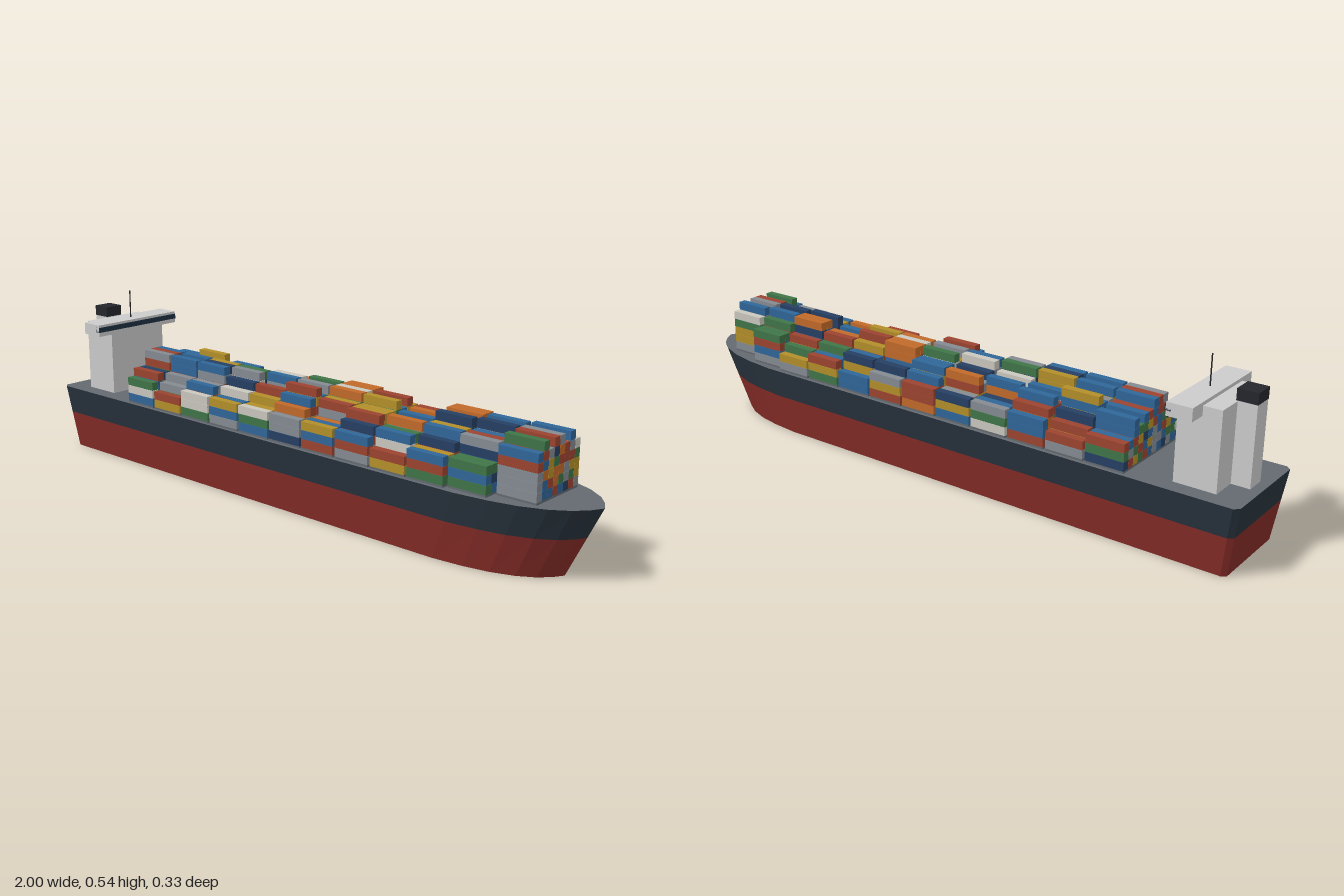
import * as THREE from 'three';
import { mergeGeometries } from 'three/addons/utils/BufferGeometryUtils.js';

const paint = (color) => new THREE.MeshStandardMaterial({ color, flatShading: true });
const WHITE = paint(0xe0e0de), NAVY = paint(0x27323c), RED = paint(0x852c27);
const DECK = paint(0x636a70), KEEL = paint(0x1f272e), BLACK = paint(0x25272c);
const GLASS = paint(0x1d2f42);

const DECK_Y = 0.21, WATERLINE = 0.12;

// Half of the deck edge, stern to bow, as [x, z]
const EDGE = [[-1, 0.148], [-0.985, 0.16], [0.65, 0.16], [0.75, 0.149], [0.83, 0.132],
  [0.9, 0.104], [0.95, 0.07], [0.982, 0.033], [1, 0]];

// Closed hull outline at height y; the hull tapers towards the keel
function outline(y) {
  const t = y / DECK_Y;
  const sz = 0.855 + 0.145 * t, sx = 0.934 + 0.066 * t, ox = -0.036 * (1 - t);
  const half = EDGE.map(([x, z]) => [x * sx + ox, z * sz]);
  const other = half.slice(0, -1).reverse().map(([x, z]) => [x, -z]);
  return [...half, ...other];
}

// Side plating between two heights
function hullBand(y0, y1) {
  const low = outline(y0), high = outline(y1), pos = [];
  low.forEach((p, i) => {
    const j = (i + 1) % low.length;
    const a = [p[0], y0, p[1]], b = [low[j][0], y0, low[j][1]];
    const c = [high[j][0], y1, high[j][1]], d = [high[i][0], y1, high[i][1]];
    pos.push(...a, ...b, ...c, ...a, ...c, ...d);
  });
  const g = new THREE.BufferGeometry();
  g.setAttribute('position', new THREE.Float32BufferAttribute(pos, 3));
  g.computeVertexNormals();
  return g;
}

// Flat cap closing the hull at height y, facing up (1) or down (-1)
function hullCap(y, facing) {
  const shape = new THREE.Shape(outline(y).map(([x, z]) => new THREE.Vector2(x, z)));
  return new THREE.ShapeGeometry(shape).rotateX(-facing * Math.PI / 2).translate(0, y, 0);
}

// Box geometry from its minimum and maximum x and y, centred across the ship
const block = (x0, x1, y0, y1, width, z = 0) =>
  new THREE.BoxGeometry(x1 - x0, y1 - y0, width).translate((x0 + x1) / 2, (y0 + y1) / 2, z);

function seeded(seed) {
  return () => {
    seed = (seed * 1664525 + 1013904223) % 4294967296;
    return seed / 4294967296;
  };
}

export function createModel() {
  const ship = new THREE.Group();
  ship.name = 'containerShip';
  const add = (name, geometry, material, parent = ship) => {
    const mesh = new THREE.Mesh(geometry, material);
    mesh.name = name;
    parent.add(mesh);
  };

  // Hull
  const hull = new THREE.Group();
  hull.name = 'hull';
  ship.add(hull);
  add('lowerHull', hullBand(0, WATERLINE), RED, hull);
  add('upperHull', hullBand(WATERLINE, DECK_Y), NAVY, hull);
  add('deck', hullCap(DECK_Y, 1), DECK, hull);
  add('hullBottom', hullCap(0, -1), KEEL, hull);

  // Deckhouse with bridge, funnel and mast
  const house = new THREE.Group();
  house.name = 'deckhouse';
  ship.add(house);
  add('accommodation', block(-0.915, -0.79, DECK_Y, 0.44, 0.22), WHITE, house);
  add('bridge', block(-0.86, -0.785, 0.412, 0.45, 0.33), WHITE, house);
  add('bridgeWindows', block(-0.8, -0.782, 0.426, 0.442, 0.33), GLASS, house);
  add('funnel', block(-0.97, -0.912, DECK_Y, 0.442, 0.06), WHITE, house);
  add('funnelCap', block(-0.971, -0.911, 0.442, 0.475, 0.062), BLACK, house);
  add('mast', new THREE.CylinderGeometry(0.002, 0.002, 0.09, 8).translate(-0.822, 0.495, 0),
    BLACK, house);

  // Containers: bays along the ship, rows across it, tiers upwards
  const colors = [0x2f6698, 0x9c4430, 0x3f7548, 0xb38f2a, 0x848b91, 0x263f63, 0xc26a2a, 0xc9c7bd];
  const weights = [0.24, 0.41, 0.54, 0.67, 0.79, 0.88, 0.94, 1];
  const byColor = colors.map(() => []);
  const hatches = [];
  const random = seeded(17);
  const length = 0.12, bayPitch = 0.128, rowPitch = 0.025, tier = 0.0262, base = 0.216;

  for (let bay = 0; bay < 12; bay++) {
    const x = -0.665 + bay * bayPitch;
    const rows = bay === 11 ? 8 : bay === 10 ? 11 : 12;
    hatches.push(block(x, x + length, DECK_Y, base, rows * rowPitch - 0.002));
    for (let row = 0; row < rows; row++) {
      const z = (row - (rows - 1) / 2) * rowPitch;
      // Stacks get lower towards the sides of the ship
      const off = Math.abs(z);
      const most = off < 0.07 ? 6 : off < 0.095 ? 5 : off < 0.13 ? 4 : 3;
      let height = most - Math.floor(random() * (most > 4 ? 2.4 : 2));
      if (row === Math.floor(rows / 2)) height = 6;
      if (bay === 8) height = Math.min(height, 5);
      for (let level = 0; level < height; level++) {
        const pick = random();
        const y = base + level * tier;
        byColor[weights.findIndex((w) => pick < w)].push(
          block(x, x + length, y, y + tier - 0.0006, rowPitch - 0.0008, z));
      }
    }
  }
  const cargo = new THREE.Group();
  cargo.name = 'cargo';
  ship.add(cargo);
  add('hatchCovers', mergeGeometries(hatches), DECK, cargo);
  byColor.forEach((list, i) => {
    if (list.length) add(`containers${i + 1}`, mergeGeometries(list), paint(colors[i]), cargo);
  });

  return ship;
}
